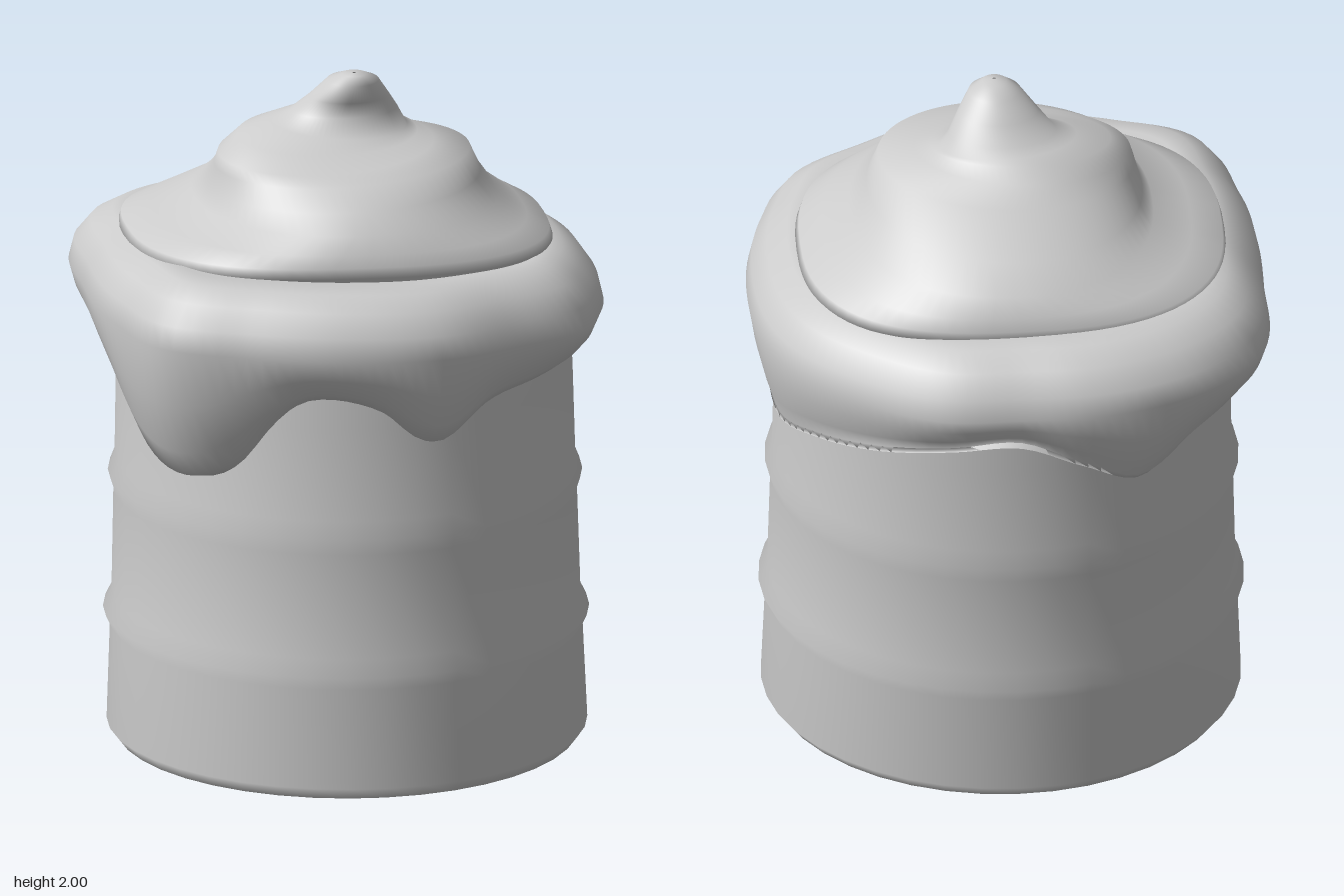
import * as THREE from 'three';

// Periodic lookup in a table of [degrees, value], joined by a smooth curve
function around(table, deg) {
  const n = table.length;
  const at = (i) => {
    const turns = Math.floor(i / n);
    const [d, v] = table[i - turns * n];
    return [d + turns * 360, v];
  };
  let i = n - 1;
  while (table[i][0] > deg) i--;
  const [p, q, r, s] = [at(i - 1), at(i), at(i + 1), at(i + 2)];
  const h = r[0] - q[0], t = (deg - q[0]) / h;
  const m0 = ((r[1] - p[1]) / (r[0] - p[0])) * h;
  const m1 = ((s[1] - q[1]) / (s[0] - q[0])) * h;
  const t2 = t * t, t3 = t2 * t;
  return (2 * t3 - 3 * t2 + 1) * q[1] + (t3 - 2 * t2 + t) * m0
    + (3 * t2 - 2 * t3) * r[1] + (t3 - t2) * m1;
}

// Smooth skin over closed loops listed from top to bottom; point(row, angle) gives [x, y, z]
function loft(rows, segments, point) {
  const pos = [], index = [];
  for (let i = 0; i < rows; i++)
    for (let j = 0; j < segments; j++) pos.push(...point(i, (j / segments) * Math.PI * 2));
  for (let i = 0; i < rows - 1; i++)
    for (let j = 0; j < segments; j++) {
      const k = (j + 1) % segments;
      const a = i * segments + j, b = i * segments + k;
      const c = a + segments, d = b + segments;
      index.push(a, b, c, b, d, c);
    }
  const geo = new THREE.BufferGeometry();
  geo.setAttribute('position', new THREE.Float32BufferAttribute(pos, 3));
  geo.setIndex(index);
  geo.computeVertexNormals();
  return geo;
}

const mix = THREE.MathUtils.lerp;

// Height of the dripping lower edge, by angle from +x towards +z
const EDGE = [[0, 1.22], [16, 1.25], [32, 1.215], [48, 1.19], [62, 1.16], [77, 1.06], [92, 1.18],
  [107, 1.21], [117, 1.13], [128, 0.98], [139, 0.93], [153, 0.98], [168, 1.14], [182, 1.2],
  [210, 1.2], [228, 1.14], [242, 1.05], [256, 1.13], [270, 1.21], [285, 1.19], [305, 1.14],
  [322, 1.1], [340, 1.06], [350, 1.12]];

// Widest radius of the icing collar, by the same angle
const RIM = [[0, 0.745], [25, 0.77], [39, 0.8], [58, 0.765], [77, 0.785], [99, 0.785], [120, 0.805],
  [138, 0.86], [157, 0.785], [188, 0.757], [214, 0.865], [228, 0.87], [242, 0.84],
  [256, 0.805], [270, 0.775], [287, 0.79], [306, 0.77], [329, 0.77]];

// Swirl levels: y, min x, max x, min z, max z
const SWIRL = [
  [2.0, 0.02, 0.03, 0.025, 0.035],
  [1.997, -0.01, 0.06, -0.01, 0.06],
  [1.975, -0.05, 0.1, -0.07, 0.088],
  [1.92, -0.1, 0.135, -0.11, 0.075],
  [1.87, -0.15, 0.165, -0.155, 0.055],
  [1.835, -0.21, 0.19, -0.18, 0.11],
  [1.815, -0.31, 0.215, -0.2, 0.18],
  [1.78, -0.37, 0.26, -0.24, 0.26],
  [1.75, -0.38, 0.365, -0.31, 0.33],
  [1.68, -0.4, 0.4, -0.47, 0.4],
  [1.62, -0.43, 0.45, -0.555, 0.455],
  [1.57, -0.54, 0.53, -0.585, 0.485],
  [1.535, -0.63, 0.595, -0.6, 0.5],
  [1.505, -0.64, 0.605, -0.6, 0.505],
  [1.45, -0.59, 0.56, -0.56, 0.47],
];

// Side of the can from top to bottom: radius, y (two raised hoops)
const CAN = [[0.645, 1.4], [0.662, 1.1], [0.668, 0.83], [0.688, 0.78], [0.672, 0.73],
  [0.68, 0.42], [0.705, 0.37], [0.685, 0.33], [0.697, 0.035], [0.67, 0]];
const canZ = (y) => 0.012 - 0.045 * y;

export function createModel() {
  const grey = new THREE.MeshStandardMaterial({ color: 0xcccccc, side: THREE.DoubleSide });
  grey.name = 'plain grey';
  const group = new THREE.Group();
  const add = (name, geo) => {
    const mesh = new THREE.Mesh(geo, grey);
    mesh.name = name;
    group.add(mesh);
  };

  // Slightly leaning can, hollow and open underneath
  add('can', loft(CAN.length, 40, (i, a) => {
    const [r, y] = CAN[i];
    return [r * Math.cos(a) + 0.007, y, r * Math.sin(a) + canZ(y)];
  }));

  // Thick collar of icing with drips running down the can
  add('icingDrips', loft(11, 120, (i, a) => {
    const deg = (a * 180) / Math.PI;
    const R = around(RIM, deg), E = around(EDGE, deg);
    const wall = 0.665 - 0.04 * Math.sin(a);
    const lip = 0.03 - 0.02 * Math.sin(a);
    const [r, y, tilt] = [
      [0.4, 1.48, 1],
      [R * 0.76, 1.512, 1],
      [R * 0.84, 1.503, 1],
      [R * 0.92, 1.463, 1],
      [R * 0.98, 1.4, 1],
      [R, 1.335, 0.9],
      [mix(R, wall, 0.12), mix(1.335, E, 0.4), 0.4],
      [mix(R, wall, 0.36), mix(1.335, E, 0.75), 0],
      [mix(R, wall, 0.58), mix(1.335, E, 0.95), 0],
      [wall + lip, E, 0],
      [wall - 0.04, E + 0.04, 0],
    ][i];
    const x = r * Math.cos(a), z = r * Math.sin(a);
    return [x, y + tilt * (0.03 * z - 0.03 * x), z];
  }));

  // Whipped swirl with a tip curling forward
  add('creamSwirl', loft(SWIRL.length, 72, (i, a) => {
    const [y, x0, x1, z0, z1] = SWIRL[i];
    const t = i / (SWIRL.length - 1);
    const power = 2 / mix(2, 2.6, THREE.MathUtils.smoothstep(t, 0.6, 0.85));
    const round = (v) => Math.sign(v) * Math.abs(v) ** power;
    const ripple = i > 4 && i < 11 ? 0.018 * Math.cos(a - (i - 8) * 0.8) : 0;
    const x = (x0 + x1) / 2 + ((x1 - x0) / 2) * round(Math.cos(a));
    const z = (z0 + z1) / 2 + ((z1 - z0) / 2) * round(Math.sin(a));
    const tilt = t > 0.75 ? 0.04 * z - 0.015 * x : 0;
    return [x, y + ripple + tilt, z];
  }));

  return group;
}
